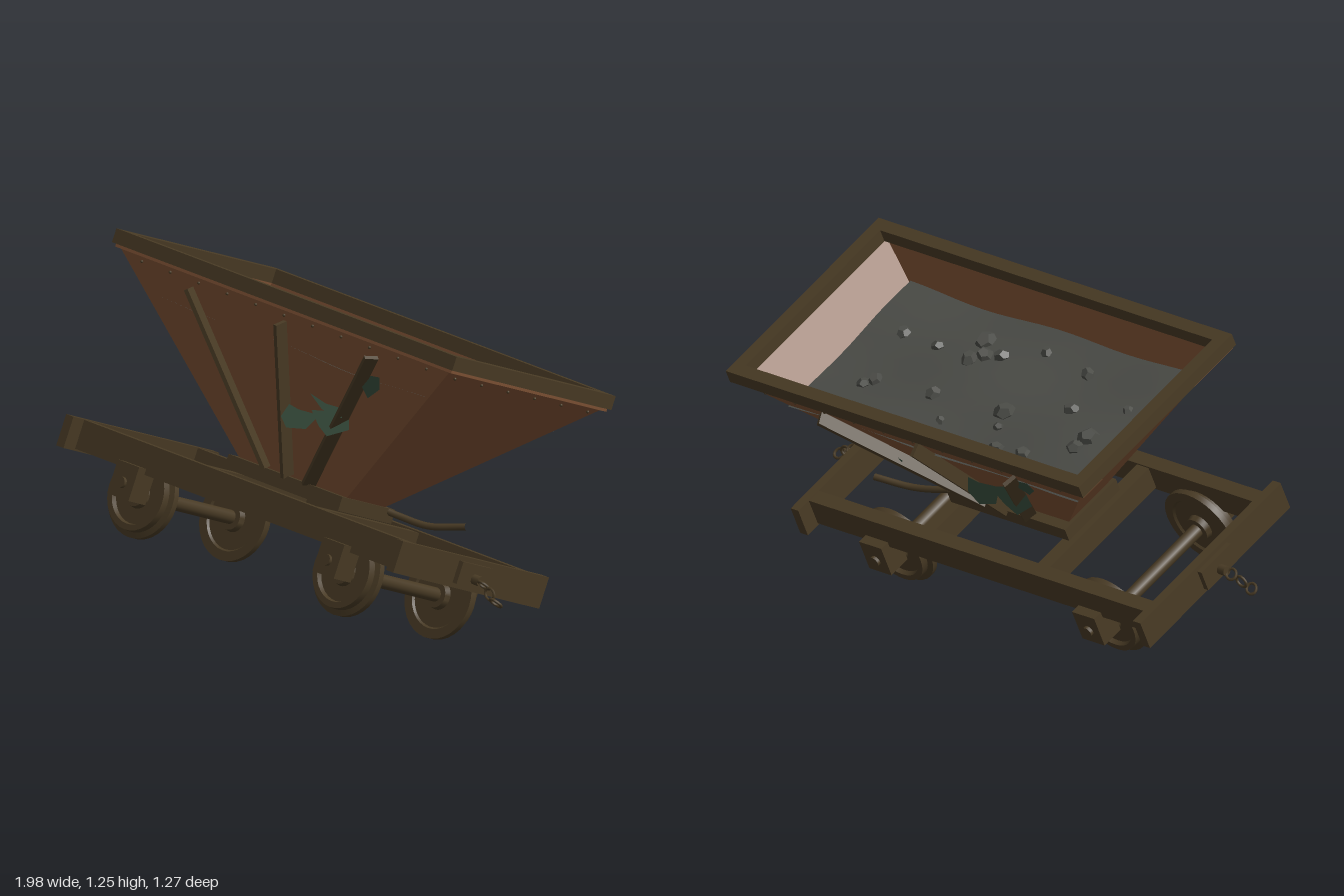
import * as THREE from 'three';
import { toCreasedNormals } from 'three/addons/utils/BufferGeometryUtils.js';

const mat = (name, color, side = THREE.FrontSide) => {
  const m = new THREE.MeshStandardMaterial({ color, side });
  m.name = name;
  return m;
};

export function createModel() {
  const iron = mat('dark iron', 0x483a24);
  const rust = mat('rusty steel', 0x7c5033, THREE.DoubleSide);
  const stone = mat('grey stone', 0x4b4c47);
  const moss = mat('green paint', 0x354a3a, THREE.DoubleSide);

  const cart = new THREE.Group();
  cart.name = 'hopperCart';

  const add = (parent, name, geo, material, x = 0, y = 0, z = 0) => {
    const m = new THREE.Mesh(geo, material);
    m.name = name;
    m.position.set(x, y, z);
    parent.add(m);
    return m;
  };
  const box = (parent, name, w, h, d, x, y, z, material = iron) =>
    add(parent, name, new THREE.BoxGeometry(w, h, d), material, x, y, z);

  // Chassis: end beams, side rails, cross members
  for (const s of [-1, 1]) {
    box(cart, 'endBeam', 0.036, 0.113, 0.77, s * 0.811, 0.295, 0);
    box(cart, 'sideRail', 1.59, 0.104, 0.055, 0, 0.298, s * 0.3);
    box(cart, 'crossMember', 0.055, 0.09, 0.56, s * 0.27, 0.3, 0);
    box(cart, 'couplingPlate', 0.022, 0.08, 0.16, s * 0.838, 0.295, 0);
    const bolt = add(cart, 'couplingBolt', new THREE.CylinderGeometry(0.018, 0.018, 0.04, 10), iron, s * 0.86, 0.285, 0);
    bolt.rotation.z = Math.PI / 2;
    // Chain links, alternately turned
    for (let i = 0; i < 3; i++) {
      const link = add(cart, 'chainLink', new THREE.TorusGeometry(0.019, 0.005, 6, 14), iron,
        s * (0.898 + i * 0.039), 0.277 - i * 0.021, 0);
      link.scale.x = 1.2;
      link.rotation.set(i % 2 ? 0.2 : 1.1, 0, -s * 0.45);
    }
  }

  // Wheels, axles and axle boxes
  const wheelProfile = [[0.02, -0.014], [0.045, -0.014], [0.05, 0.008], [0.112, 0.008], [0.118, 0], [0.152, 0],
    [0.152, 0.022], [0.132, 0.027], [0.129, 0.052], [0.108, 0.052], [0.104, 0.034], [0.05, 0.034], [0.045, 0.056], [0, 0.056]]
    .map(([r, h]) => new THREE.Vector2(r, h));
  const wheelGeo = toCreasedNormals(new THREE.LatheGeometry(wheelProfile, 32), 0.5);
  for (const x of [-0.505, 0.505]) {
    const axle = add(cart, 'axle', new THREE.CylinderGeometry(0.025, 0.025, 0.54, 14), iron, x, 0.172, 0);
    axle.rotation.x = Math.PI / 2;
    for (const s of [-1, 1]) {
      const wheel = add(cart, 'wheel', wheelGeo, iron, x, 0.172, s * 0.23);
      wheel.rotation.x = s * Math.PI / 2;
      box(cart, 'axleBox', 0.105, 0.122, 0.088, x, 0.206, s * 0.32);
      const cap = add(cart, 'axleCap', new THREE.CylinderGeometry(0.02, 0.02, 0.014, 12), iron, x, 0.198, s * 0.369);
      cap.rotation.x = Math.PI / 2;
    }
  }

  // Saddle under the hopper and tipping lever
  box(cart, 'saddle', 0.56, 0.05, 0.28, 0, 0.376, 0);
  const leverPath = new THREE.CatmullRomCurve3([[0.2, 0.395, -0.08], [0.32, 0.387, -0.13], [0.43, 0.388, -0.16], [0.56, 0.428, -0.2]]
    .map(p => new THREE.Vector3(...p)));
  add(cart, 'lever', new THREE.TubeGeometry(leverPath, 16, 0.012, 8), iron);

  // Hopper walls: open four-sided frustum
  const y0 = 0.4, y1 = 0.965, bot = [0.265, 0.1], top = [0.82, 0.406];
  const pos = [], idx = [];
  for (const [[w, d], y] of [[bot, y0], [top, y1]])
    for (const [sx, sz] of [[1, 1], [1, -1], [-1, -1], [-1, 1]]) pos.push(sx * w, y, sz * d);
  for (let i = 0; i < 4; i++) {
    const j = (i + 1) % 4;
    idx.push(i, j, j + 4, i, j + 4, i + 4);
  }
  idx.push(0, 3, 2, 0, 2, 1);
  const walls = new THREE.BufferGeometry();
  walls.setAttribute('position', new THREE.Float32BufferAttribute(pos, 3));
  walls.setIndex(idx);
  add(cart, 'hopperWalls', toCreasedNormals(walls, 0.1), rust);

  // Rectangular frames: rim and thin collar below it
  const frame = (name, w, d, t, h, y, material) => {
    for (const s of [-1, 1]) {
      box(cart, name, 2 * w, h, t, 0, y, s * (d - t / 2), material);
      box(cart, name, t, h, 2 * (d - t), s * (w - t / 2), y, 0, material);
    }
  };
  frame('rim', 0.837, 0.42, 0.05, 0.05, 0.988, iron);
  frame('collar', 0.826, 0.41, 0.02, 0.012, 0.958, rust);

  // Paint flakes: height up the wall, tilt, outline hanging from its upper edge
  const low = [0.285, -0.93, [[-0.04, 0], [0.06, -0.012], [0.155, -0.005], [0.14, -0.07], [0.06, -0.09], [0.01, -0.06]]];
  const sliver = [0.35, -0.93, [[0.11, 0], [0.2, -0.015], [0.29, -0.01], [0.3, -0.045], [0.2, -0.04]]];
  const middle = [0.31, -0.93, [[0.13, -0.02], [0.2, 0], [0.3, 0], [0.33, -0.04], [0.26, -0.09], [0.2, -0.065]]];
  const high = [0.51, -0.25, [[0.38, -0.01], [0.46, 0], [0.47, -0.04], [0.42, -0.085], [0.38, -0.05]]];
  const far = [0.36, -0.6, [[-0.42, 0], [-0.33, -0.02], [-0.26, -0.05], [-0.3, -0.08], [-0.38, -0.05]]];
  // Wall groups: x along the wall, y up its slope, z outward
  const wallGroup = (name, inset, rise, turn) => {
    const g = new THREE.Group();
    g.name = name;
    g.rotation.order = 'YXZ';
    g.rotation.set(Math.atan2(rise, y1 - y0), turn, 0);
    g.position.set(Math.sin(turn) * inset, y0, Math.cos(turn) * inset);
    cart.add(g);
    return g;
  };
  const rivets = (g, n, step, y) => {
    for (let i = 0; i < n; i++)
      add(g, 'rivet', new THREE.SphereGeometry(0.0055, 8, 6), iron, (i - (n - 1) / 2) * step, y, 0.006);
  };
  for (const [turn, flakes] of [[0, [low, sliver, middle, high]], [Math.PI, [low, middle, high, far]]]) {
    const g = wallGroup('longWall', bot[1], top[1] - bot[1], turn);
    rivets(g, 11, 0.14, 0.612);
    // Splayed ribs, the outer ones twisted
    for (const s of [-1, 0, 1]) {
      const a = new THREE.Vector2(s * 0.105, 0.015), b = new THREE.Vector2(s * 0.45, 0.59);
      const rib = box(g, 'rib', 0.015, a.distanceTo(b), 0.05, (a.x + b.x) / 2, (a.y + b.y) / 2, 0.027);
      rib.rotation.order = 'ZYX';
      rib.rotation.set(0, -s * 0.45, -Math.atan2(b.x - a.x, b.y - a.y));
    }
    // Flaking paint
    for (const [y, tilt, outline] of flakes) {
      const shape = new THREE.Shape(outline.map(q => new THREE.Vector2(...q)));
      add(g, 'paintFlake', new THREE.ShapeGeometry(shape), moss, 0, y, 0.004).rotation.x = tilt;
    }
  }
  for (const turn of [-Math.PI / 2, Math.PI / 2])
    rivets(wallGroup('endWall', bot[0], top[0] - bot[0], turn), 6, 0.14, 0.755);

  // Load: gently uneven bed with loose stones
  const height = (x, z) => 0.834 + 0.006 * Math.sin(x * 9 + z * 5) + 0.004 * Math.cos(z * 13 - x * 4);
  const bed = new THREE.PlaneGeometry(1.37, 0.68, 20, 10).rotateX(-Math.PI / 2);
  const bp = bed.attributes.position;
  for (let i = 0; i < bp.count; i++) bp.setY(i, height(bp.getX(i), bp.getZ(i)));
  bed.computeVertexNormals();
  add(cart, 'stoneBed', bed, stone);

  // Stones as [x, z, radius in thousandths]
  const stones = [[-0.53, -0.27, 26], [-0.5, -0.13, 33], [-0.51, -0.07, 42], [-0.33, -0.22, 30], [-0.21, -0.23, 31],
    [0.03, -0.3, 38], [0.09, -0.19, 20], [-0.14, -0.14, 21], [-0.11, -0.07, 42], [0.41, -0.3, 28], [0.2, -0.1, 31],
    [0.5, -0.14, 27], [0.47, -0.11, 32], [0.53, 0.12, 28], [0.36, 0.11, 27], [0.19, 0.09, 35], [0.15, 0.13, 35],
    [0.09, 0.15, 32], [0.2, 0.19, 42], [-0.27, 0.2, 31], [-0.34, 0.03, 31], [-0.55, 0.1, 20], [-0.05, 0.23, 25]];
  const stoneGeo = new THREE.DodecahedronGeometry(0.001);
  stones.forEach(([x, z, r], i) => {
    const m = add(cart, 'stone', stoneGeo, stone, x, height(x, z), z);
    m.scale.set(r, r * 0.8, r);
    m.rotation.set(i * 0.15, i * 2.1, i * 0.1);
  });

  // Tilted resting pose
  const Z = new THREE.Vector3(0.158, 0.37, 0.915).normalize();
  const Y = Z.clone().cross(new THREE.Vector3(0.988, -0.057, -0.1446)).normalize();
  const X = Y.clone().cross(Z);
  cart.quaternion.setFromRotationMatrix(new THREE.Matrix4().makeBasis(X, Y, Z));
  cart.position.set(0.004, 0.1, 0.25);

  const model = new THREE.Group();
  model.name = 'model';
  model.add(cart);
  return model;
}
